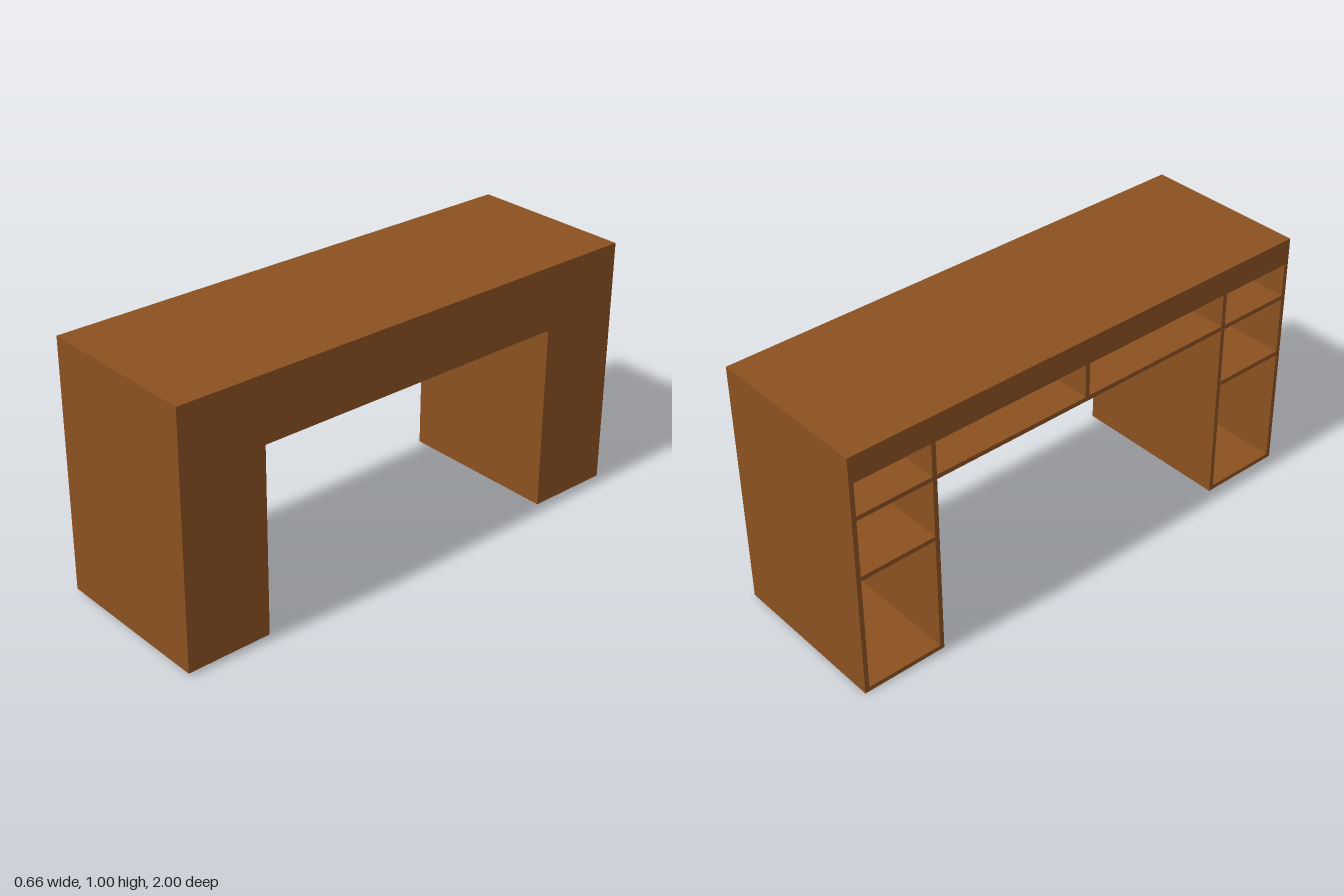
import * as THREE from 'three';

export function createModel() {
  const model = new THREE.Group();
  const wood = new THREE.MeshStandardMaterial({ color: 0x8b5121 });
  wood.name = 'brown wood';

  const X = 0.33, L = 0.997, H = 0.988; // half width, half length, height
  const INNER = 0.657;                  // inner face of each pedestal
  const SLAB = 0.885, RAIL = 0.735;     // undersides of the top and the rail
  const T = 0.018;                      // board thickness

  // Board spanning the given limits on each axis
  function board(parent, name, x0, x1, y0, y1, z0, z1) {
    const mesh = new THREE.Mesh(new THREE.BoxGeometry(x1 - x0, y1 - y0, z1 - z0), wood);
    mesh.position.set((x0 + x1) / 2, (y0 + y1) / 2, (z0 + z1) / 2);
    mesh.name = name;
    parent.add(mesh);
  }

  // Thick desk top
  board(model, 'deskTop', -X, X, SLAB, H, -L, L);

  // Two pedestals with cubbies open towards -x
  for (const side of [-1, 1]) {
    const pedestal = new THREE.Group();
    pedestal.name = side > 0 ? 'frontPedestal' : 'backPedestal';
    const span = (a, b) => (side > 0 ? [a, b] : [-b, -a]);
    board(pedestal, 'outerPanel', -X, X, 0, SLAB, ...span(L - T, L));
    board(pedestal, 'innerPanel', -X, X, 0, SLAB, ...span(INNER, INNER + T));
    board(pedestal, 'closingPanel', X - T, X, 0, SLAB, ...span(INNER + T, L - T));
    for (const y of [0, 0.487, RAIL]) {
      board(pedestal, y ? 'shelf' : 'bottomBoard', -X, X - T, y, y + T, ...span(INNER + T, L - T));
    }
    model.add(pedestal);
  }

  // Shallow compartments between the pedestals
  const rail = new THREE.Group();
  rail.name = 'middleCompartments';
  board(rail, 'railFloor', -X, X, RAIL, RAIL + T, -INNER, INNER);
  board(rail, 'railPanel', X - T, X, RAIL + T, SLAB, -INNER, INNER);
  board(rail, 'railDivider', -X, X - T, RAIL + T, SLAB, -T / 2, T / 2);
  model.add(rail);

  // The desk stands very slightly askew
  model.rotation.set(-0.006, 0.002, 0);
  model.position.set(0, 0.006, 0.003);
  return model;
}
